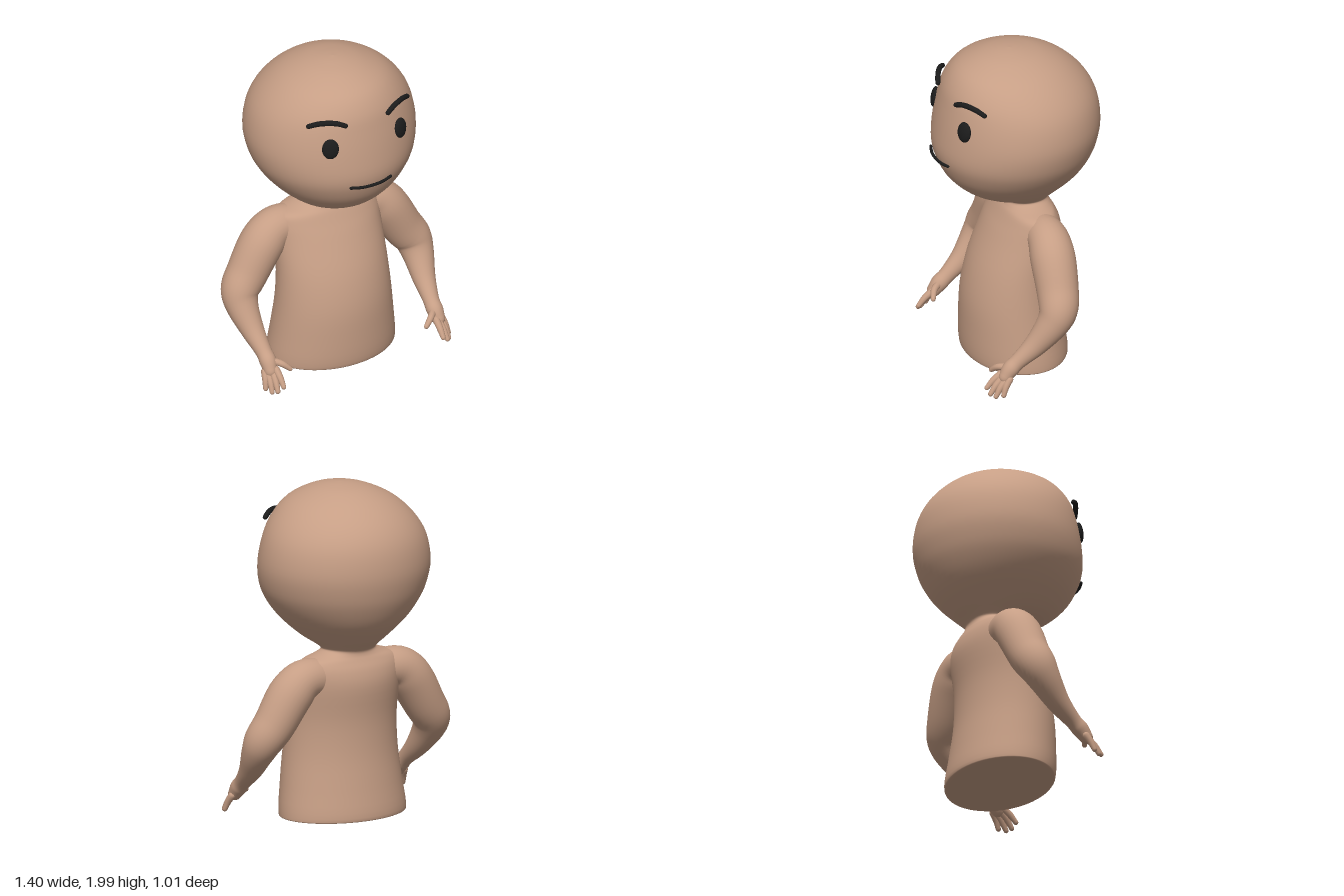
import * as THREE from 'three';

const V = (x, y, z) => new THREE.Vector3(x, y, z);
const skin = new THREE.MeshStandardMaterial({ color: 0xc69e85 });
skin.name = 'skin';
const black = new THREE.MeshStandardMaterial({ color: 0x1c1c1c });
black.name = 'black';

// Smooth closed skin over a list of rings with equal point counts
function skinRings(rings) {
  const n = rings[0].length, pos = [], idx = [];
  rings.forEach(r => r.forEach(p => pos.push(p.x, p.y, p.z)));
  for (let i = 0; i < rings.length - 1; i++) {
    for (let j = 0; j < n; j++) {
      const k = (j + 1) % n, a = i * n, b = a + n;
      idx.push(a + j, b + j, a + k, b + j, b + k, a + k);
    }
  }
  const g = new THREE.BufferGeometry();
  g.setAttribute('position', new THREE.Float32BufferAttribute(pos, 3));
  g.setIndex(idx);
  g.computeVertexNormals();
  return g;
}

const spline = pts => new THREE.CatmullRomCurve3(pts, false, 'catmullrom', 0.5);

// Horizontal ellipses from rows of [y, half width, front z, back z]
function loft(rows, steps, sides) {
  const a = spline(rows.map(r => V(r[0], r[1], 0)));
  const b = spline(rows.map(r => V(r[0], r[2], r[3])));
  const rings = [];
  for (let i = 0; i <= steps; i++) {
    const p = a.getPoint(i / steps), q = b.getPoint(i / steps);
    const c = (q.y + q.z) / 2, d = (q.y - q.z) / 2, ring = [];
    for (let j = 0; j < sides; j++) {
      const t = j / sides * Math.PI * 2;
      ring.push(V(p.y * Math.cos(t), p.x, c + d * Math.sin(t)));
    }
    rings.push(ring);
  }
  return skinRings(rings);
}

// Round-ended tube along points [x, y, z, radius]
function limb(points, steps = 16, sides = 14) {
  const path = spline(points.map(p => V(p[0], p[1], p[2])));
  const radii = spline(points.map(p => V(p[3], 0, 0)));
  const rings = [];
  const addRing = (t, shift, scale) => {
    const tan = path.getTangent(t), r = radii.getPoint(t).x;
    const n = V(0, 0, 1).cross(tan).normalize(), b = n.clone().cross(tan);
    const c = path.getPoint(t).addScaledVector(tan, shift * r);
    rings.push(Array.from({ length: sides }, (_, j) => {
      const a = j / sides * Math.PI * 2;
      return c.clone().addScaledVector(n, Math.cos(a) * r * scale)
        .addScaledVector(b, Math.sin(a) * r * scale);
    }));
  };
  for (let k = 4; k > 0; k--) {
    const a = k * Math.PI / 8;
    addRing(0, -Math.sin(a), Math.cos(a));
  }
  for (let i = 0; i <= steps; i++) addRing(i / steps, 0, 1);
  for (let k = 1; k <= 4; k++) {
    const a = k * Math.PI / 8;
    addRing(1, Math.sin(a), Math.cos(a));
  }
  return skinRings(rings);
}

function add(parent, name, geometry, material) {
  const mesh = new THREE.Mesh(geometry, material);
  mesh.name = name;
  parent.add(mesh);
  return mesh;
}

export function createModel() {
  const model = new THREE.Group();
  model.name = 'figure';

  // Torso, neck and head as one smooth skin
  const rows = [
    [0.01, 0, 0, 0], [0.01, 0.2, 0.15, -0.15], [0.01, 0.375, 0.28, -0.275],
    [0.035, 0.4, 0.31, -0.302], [0.2, 0.382, 0.316, -0.278],
    [0.4, 0.36, 0.307, -0.25], [0.6, 0.347, 0.26, -0.243],
    [0.8, 0.345, 0.175, -0.26], [0.9, 0.345, 0.125, -0.245],
    [0.96, 0.32, 0.095, -0.215], [0.99, 0.23, 0.078, -0.2],
    [1.015, 0.172, 0.076, -0.2], [1.04, 0.182, 0.13, -0.225],
    [1.1, 0.26, 0.29, -0.295], [1.2, 0.368, 0.405, -0.39],
    [1.3, 0.447, 0.462, -0.45], [1.4, 0.495, 0.486, -0.487],
    [1.53, 0.516, 0.475, -0.506], [1.68, 0.49, 0.448, -0.485],
    [1.8, 0.424, 0.415, -0.42], [1.9, 0.32, 0.345, -0.31],
    [1.965, 0.19, 0.225, -0.18], [1.992, 0.085, 0.115, -0.06],
    [2.0, 0, 0.03, 0.03],
  ];
  add(model, 'bodyAndHead', loft(rows, (rows.length - 1) * 4, 56), skin);

  for (const s of [1, -1]) {
    const side = s > 0 ? 'left' : 'right';
    const flip = pts => pts.map(([x, y, z, r]) => [x * s, y, z, r]);
    const arm = new THREE.Group();
    arm.name = side + 'Arm';
    model.add(arm);

    // Shoulder to palm
    add(arm, side + 'ArmSkin', limb(flip([
      [0.2, 0.87, -0.08, 0.11], [0.33, 0.86, -0.085, 0.122],
      [0.42, 0.78, -0.08, 0.134], [0.52, 0.62, -0.07, 0.125],
      [0.583, 0.525, -0.05, 0.116], [0.597, 0.44, -0.005, 0.097],
      [0.583, 0.32, 0.09, 0.07], [0.57, 0.225, 0.195, 0.049],
      [0.568, 0.18, 0.245, 0.05], [0.572, 0.135, 0.28, 0.04],
    ]), 48, 28), skin);

    // Fingers and thumb: knuckle, then tip
    const digits = {
      Index: [[0.545, 0.145, 0.3], [0.543, 0.068, 0.385]],
      Middle: [[0.565, 0.13, 0.295], [0.577, 0.042, 0.375]],
      Ring: [[0.588, 0.125, 0.28], [0.601, 0.032, 0.35]],
      Little: [[0.602, 0.13, 0.265], [0.622, 0.042, 0.31]],
      Thumb: [[0.55, 0.185, 0.255], [0.464, 0.138, 0.325]],
    };
    for (const [name, [a, b]] of Object.entries(digits)) {
      const lift = name === 'Thumb' ? 0.012 : 0.004;
      const mid = a.map((v, i) => (v + b[i]) / 2 + (i > 0 ? lift : 0));
      add(arm, side + name, limb(flip([
        [...a, 0.022], [...mid, 0.02], [...b, 0.015],
      ]), 8, 10), skin);
    }

    // Eye and eyebrow
    const eye = add(model, side + 'Eye', new THREE.SphereGeometry(1, 28, 18), black);
    eye.scale.set(0.05, 0.063, 0.022);
    eye.position.set(0.238 * s, 1.625, 0.407);
    eye.rotation.set(-0.14, 0.42 * s, 0, 'YXZ');
    add(model, side + 'Eyebrow', limb(flip([
      [0.145, 1.765, 0.422, 0.015], [0.19, 1.784, 0.404, 0.016],
      [0.24, 1.79, 0.38, 0.016], [0.29, 1.784, 0.35, 0.016],
      [0.335, 1.765, 0.318, 0.015],
    ]), 16, 10), black);
  }

  // Mouth
  add(model, 'mouth', limb([
    [-0.135, 1.357, 0.47, 0.009], [-0.07, 1.353, 0.49, 0.009],
    [0, 1.352, 0.496, 0.009],
    [0.07, 1.353, 0.49, 0.009], [0.135, 1.357, 0.47, 0.009],
  ], 16, 10), black);

  return model;
}
